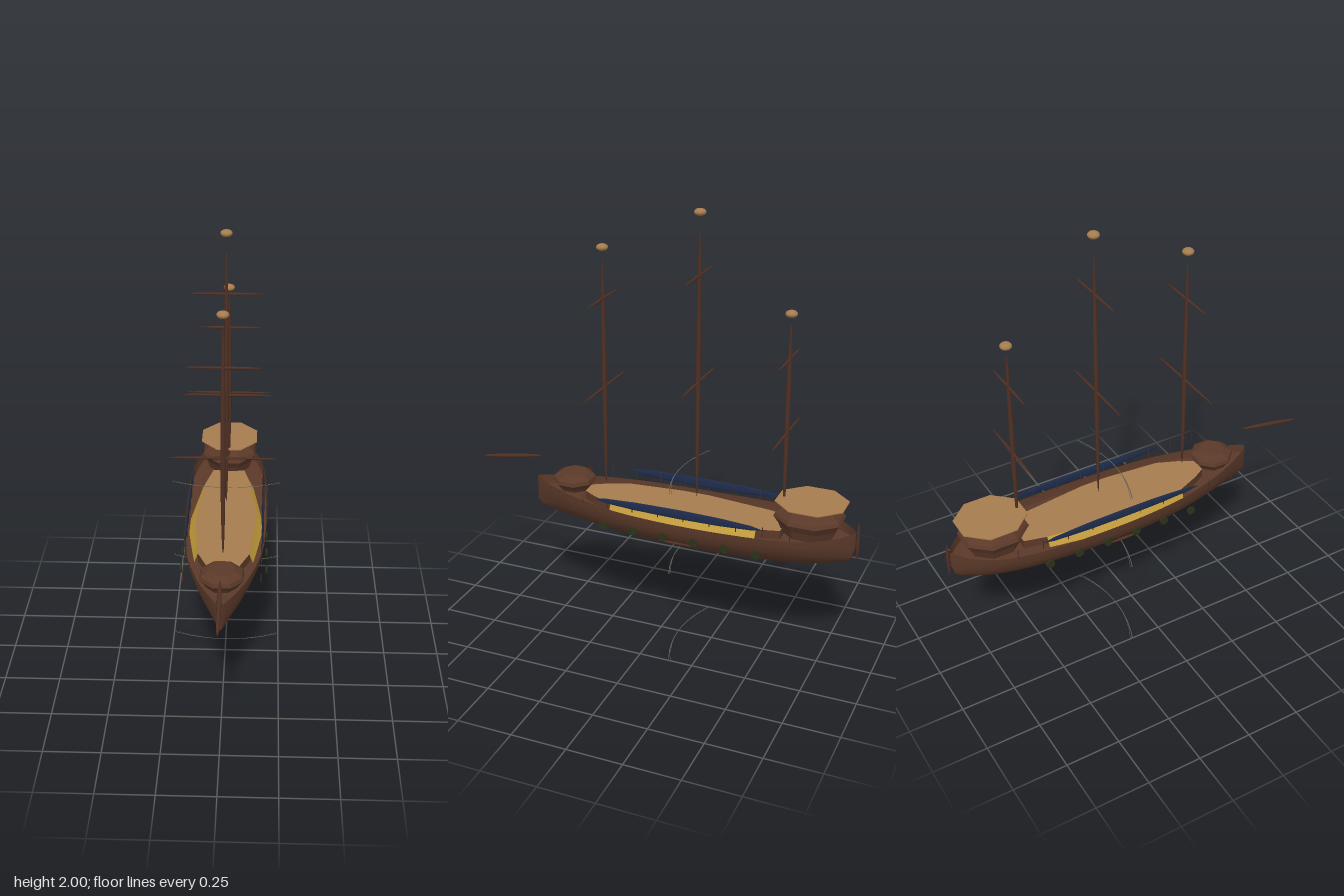
import * as THREE from 'three';

const mat = (name, color, extra = {}) => {
  const m = new THREE.MeshStandardMaterial({ color, ...extra });
  m.name = name;
  return m;
};

// Surface through rows of equally many points
function loft(rows) {
  const n = rows[0].length, idx = [];
  for (let i = 0; i < rows.length - 1; i++)
    for (let j = 0; j < n - 1; j++) {
      const a = i * n + j, b = a + n;
      idx.push(a, a + 1, b, a + 1, b + 1, b);
    }
  const g = new THREE.BufferGeometry();
  g.setAttribute('position', new THREE.Float32BufferAttribute(rows.flat(2), 3));
  g.setIndex(idx);
  g.computeVertexNormals();
  return g;
}

// Hull stations: z, half width, rail height, keel height
const STATIONS = [
  [0.62, 0.003, 0.672, 0.55], [0.6, 0.02, 0.671, 0.532], [0.5, 0.072, 0.666, 0.516],
  [0.4, 0.112, 0.662, 0.506], [0.2, 0.163, 0.655, 0.49], [0, 0.184, 0.652, 0.481],
  [-0.2, 0.19, 0.652, 0.479], [-0.4, 0.187, 0.655, 0.485], [-0.6, 0.172, 0.661, 0.498],
  [-0.74, 0.135, 0.667, 0.512], [-0.83, 0.078, 0.671, 0.528], [-0.875, 0.03, 0.675, 0.545],
  [-0.893, 0.004, 0.676, 0.6],
];

export function createModel() {
  const ship = new THREE.Group();
  ship.name = 'sailingShip';
  const D = { side: THREE.DoubleSide };
  const hullBrown = mat('hullBrown', 0x5b3929, D);
  const castleBrown = mat('castleBrown', 0x5b3929, { flatShading: true });
  const sparBrown = mat('sparBrown', 0x4f3024);
  const tan = mat('deckTan', 0xa67c4f, D);
  const gold = mat('trimGold', 0xc39c3c, D);
  const navy = mat('navyBlue', 0x1e2c4c, { flatShading: true });
  const green = mat('portGreen', 0x2a3219);
  const grey = mat('wakeGrey', 0x5a5a58, D);

  const add = (name, geo, material, x = 0, y = 0, z = 0) => {
    const m = new THREE.Mesh(geo, material);
    m.name = name;
    m.position.set(x, y, z);
    ship.add(m);
    return m;
  };

  // Hull: half-ellipse sections, smoothed along the length
  const widths = new THREE.CatmullRomCurve3(STATIONS.map(s => new THREE.Vector3(s[1], s[2], s[0])), false, 'centripetal');
  const keels = new THREE.CatmullRomCurve3(STATIONS.map(s => new THREE.Vector3(0, s[3], s[0])), false, 'centripetal');
  const hullRows = [], capRows = [];
  for (let i = 0; i <= 48; i++) {
    const p = widths.getPoint(i / 48), k = keels.getPoint(i / 48).y;
    const w = Math.max(p.x, 0.002), h = p.y - k, row = [];
    for (let j = 0; j <= 20; j++) {
      const a = (j / 20) * Math.PI;
      row.push([w * Math.cos(a), p.y - h * Math.sin(a), p.z]);
    }
    hullRows.push(row);
    const c = w * Math.sqrt(1 - (0.043 / h) ** 2);
    capRows.push([[-c, p.y - 0.043, p.z], [c, p.y - 0.043, p.z]]);
  }
  add('hull', loft(hullRows), hullBrown);
  add('innerFloor', loft(capRows), hullBrown);

  // Deck: raised plate with brown edges
  const half = [[0.035, 0.36], [0.07, 0.3], [0.112, 0.2], [0.135, -0.05], [0.135, -0.18], [0.1, -0.48], [0.075, -0.58]];
  const outline = [...half, ...half.map(([x, z]) => [-x, z]).reverse()];
  const deckShape = new THREE.Shape(outline.map(([x, z]) => new THREE.Vector2(x, -z)));
  const deckGeo = new THREE.ExtrudeGeometry(deckShape, { depth: 0.04, bevelEnabled: false });
  deckGeo.rotateX(-Math.PI / 2);
  add('deck', deckGeo, [tan, hullBrown], 0, 0.617, 0);

  for (const s of [1, -1]) {
    // Sloping gold trim: z, inner x, outer x
    const trim = [[0.2, 0.112, 0.13], [-0.05, 0.135, 0.165], [-0.18, 0.135, 0.165], [-0.48, 0.1, 0.124]];
    add('goldTrim', loft(trim.map(([z, a, b]) => [[s * a, 0.657, z], [s * b, 0.61, z]])), gold);

    // Long navy side panel
    const panel = new THREE.SphereGeometry(1, 8, 6);
    panel.scale(0.005, 0.022, 0.39);
    add('sidePanel', panel, navy, s * 0.17, 0.697, -0.14);

    // Portholes
    for (let i = 0; i < 6; i++) {
      const disc = new THREE.CylinderGeometry(0.02, 0.02, 0.008, 12);
      disc.rotateZ(Math.PI / 2);
      add('porthole', disc, green, s * 0.188, 0.583, 0.203 - i * 0.143);
    }

    // Rail posts
    for (let i = 0; i < 10; i++)
      add('railPost', new THREE.CylinderGeometry(0.002, 0.002, 0.045, 5), sparBrown, s * 0.165, 0.685, 0.43 - i * 0.12);

    // Side fender
    const fender = new THREE.SphereGeometry(1, 6, 6);
    fender.scale(0.008, 0.004, 0.09);
    add('fender', fender, sparBrown, s * 0.17, 0.555, -0.135);
  }

  // Castles: faceted eight-sided drums
  const castle = (name, rx, rz, z, profile) => {
    const g = new THREE.LatheGeometry(profile.map(([r, y]) => new THREE.Vector2(r, y)), 8);
    g.rotateY(Math.PI / 8);
    g.scale(rx, 1, rz);
    add(name, g, castleBrown, 0, 0, z);
  };
  castle('forecastle', 0.1, 0.1, 0.43, [[0, 0.65], [0.7, 0.65], [0.8, 0.667], [1, 0.69], [0.95, 0.708], [0.6, 0.73], [0, 0.73]]);
  castle('sterncastle', 0.138, 0.158, -0.687, [[0, 0.64], [0.75, 0.64], [0.85, 0.68], [1, 0.715], [0.95, 0.73], [0.7, 0.766], [0, 0.766]]);

  // Flat octagonal roof above the stern
  const roof = new THREE.CylinderGeometry(1, 1, 0.004, 8);
  roof.rotateY(Math.PI / 8);
  roof.scale(0.146, 1, 0.162);
  add('sternRoof', roof, tan, 0, 0.786, -0.695);

  // Spindle: slim spar thick in the middle, along y
  const spindle = (halfLength, r) => {
    const g = new THREE.SphereGeometry(1, 8, 10);
    g.scale(r, halfLength, r);
    return g;
  };

  // Masts: z, foot, top, ball height, yards as [height, half length]
  const masts = [
    ['fore', 0.27, 0.7, 1.74, 1.795, [[1.57, 0.155], [1.165, 0.228]]],
    ['main', -0.17, 0.71, 1.91, 1.985, [[1.72, 0.163], [1.25, 0.205]]],
    ['mizzen', -0.57, 0.72, 1.56, 1.605, [[1.41, 0.147], [1.08, 0.2]]],
  ];
  for (const [name, z, y0, y1, ball, yards] of masts) {
    add(name + 'Mast', spindle((y1 - y0) / 2, 0.011), sparBrown, 0, (y0 + y1) / 2, z);
    const knob = new THREE.SphereGeometry(0.026, 12, 8);
    knob.scale(1, 0.6, 1);
    add(name + 'MastBall', knob, tan, 0, ball, z);
    for (const [y, len] of yards)
      add(name + 'Yard', spindle(len, 0.006), sparBrown, 0, y, z).rotation.z = Math.PI / 2;
  }

  // Bowsprit and rudder
  add('bowsprit', spindle(0.156, 0.01), sparBrown, 0, 0.75, 0.753).rotation.x = Math.PI / 2 + 0.17;
  add('rudder', spindle(0.088, 0.008), sparBrown, 0, 0.635, -0.903);

  // Thin flat curved strands at three levels
  for (const y of [0.001, 0.44, 0.83]) {
    for (const [bend, w] of [[0.05, 0.004], [0.06, 0.002]]) {
      const rows = [];
      for (let i = 0; i <= 20; i++) {
        const t = i / 10 - 1, z = -0.088 - bend * t * t;
        rows.push([[t * 0.245, y, z - w / 2], [t * 0.245, y, z + w / 2]]);
      }
      add('wakeStrand', loft(rows), grey);
    }
  }
  return ship;
}
